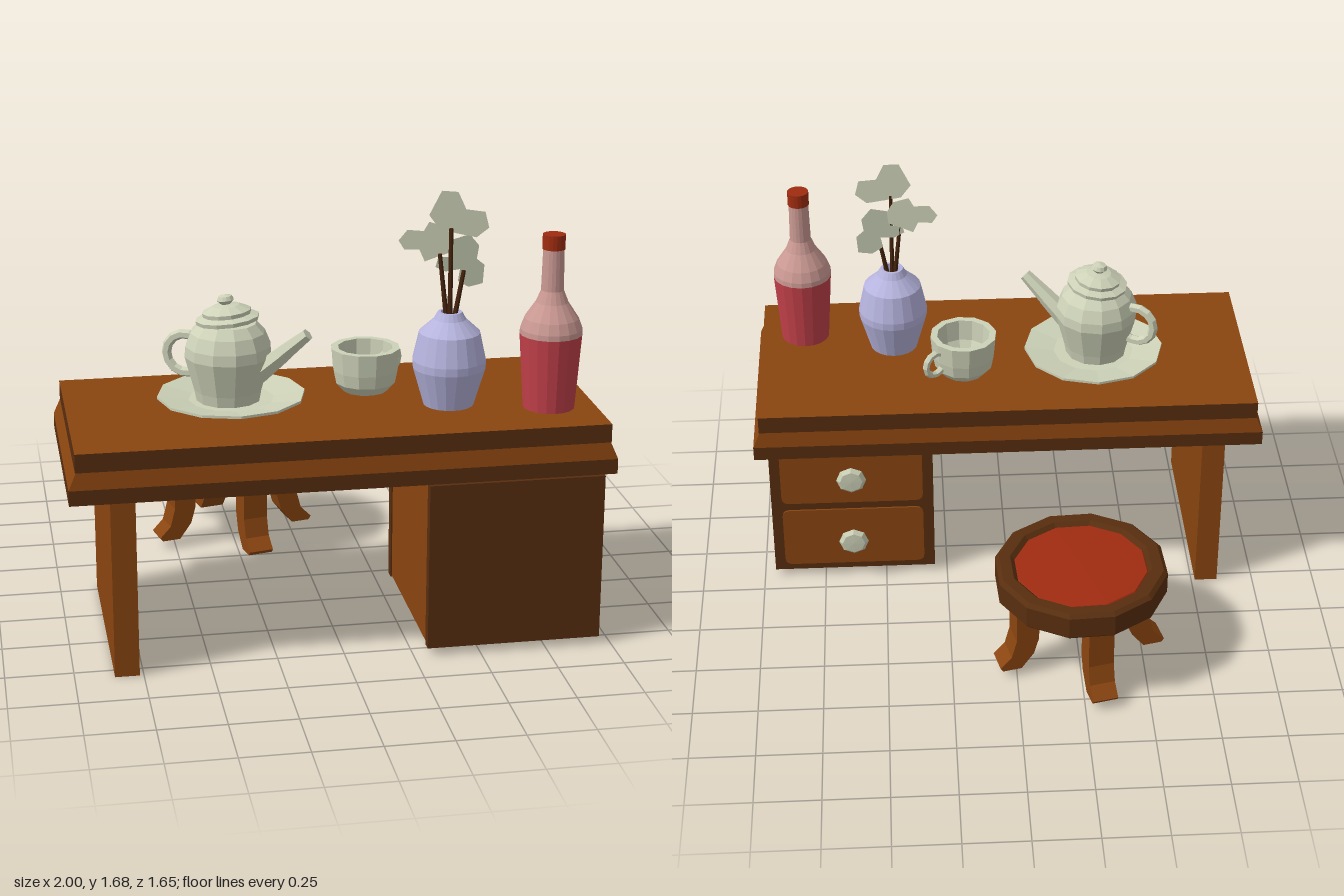
import * as THREE from 'three';

const mat = (name, color, side = THREE.FrontSide) => {
  const m = new THREE.MeshStandardMaterial({ color, flatShading: true, side });
  m.name = name;
  return m;
};

export function createModel() {
  const wood = mat('wood', 0x8a4510);
  const darkWood = mat('darkWood', 0x582e0f);
  const red = mat('red', 0xa02c10);
  const cream = mat('cream', 0xcdd2b8, THREE.DoubleSide);
  const lilac = mat('lilac', 0xb6b4de, THREE.DoubleSide);
  const pink = mat('pinkGlass', 0xcb9993);
  const wine = mat('wine', 0xc2404a);
  const twigBrown = mat('twig', 0x45230c);

  const root = new THREE.Group();
  root.name = 'teaTable';
  const group = (name, x = 0, y = 0, z = 0, parent = root) => {
    const g = new THREE.Group();
    g.name = name;
    g.position.set(x, y, z);
    parent.add(g);
    return g;
  };
  const add = (parent, name, geo, material) => {
    const m = new THREE.Mesh(geo, material);
    m.name = name;
    parent.add(m);
    return m;
  };
  // box given by its extents
  const box = (parent, name, material, x0, x1, y0, y1, z0, z1) => {
    const geo = new THREE.BoxGeometry(x1 - x0, y1 - y0, z1 - z0);
    geo.translate((x0 + x1) / 2, (y0 + y1) / 2, (z0 + z1) / 2);
    return add(parent, name, geo, material);
  };
  const lathe = (parent, name, material, sides, pts) =>
    add(parent, name, new THREE.LatheGeometry(pts.map(p => new THREE.Vector2(...p)), sides), material);
  // tapered rod between two points
  const rod = (parent, name, material, a, b, r0, r1, sides = 6) => {
    const p = new THREE.Vector3(...a), q = new THREE.Vector3(...b), d = q.clone().sub(p);
    const m = add(parent, name, new THREE.CylinderGeometry(r1, r0, d.length(), sides), material);
    m.position.copy(p).add(q).multiplyScalar(0.5);
    m.quaternion.setFromUnitVectors(new THREE.Vector3(0, 1, 0), d.normalize());
    return m;
  };

  // Desk top: lower band, sloped moulding, upper band
  const desk = group('desk');
  box(desk, 'lowerBand', darkWood, -1, 1, 0.675, 0.732, -0.043, 0.82);
  const slope = box(desk, 'moulding', wood, -1, 1, 0.732, 0.795, -0.043, 0.82);
  const sp = slope.geometry.attributes.position;
  for (let i = 0; i < sp.count; i++) {
    if (sp.getY(i) < 0.76) continue;
    sp.setX(i, sp.getX(i) * 0.973);
    sp.setZ(i, 0.3885 + (sp.getZ(i) - 0.3885) * 0.98);
  }
  slope.geometry.computeVertexNormals();
  box(desk, 'upperBand', [darkWood, darkWood, wood, darkWood, darkWood, darkWood],
    -0.975, 0.975, 0.795, 0.865, -0.035, 0.812);
  box(desk, 'sidePanel', wood, -0.855, -0.765, 0, 0.675, -0.035, 0.81);

  // Drawer cabinet, drawers opening towards the stool
  const cabinet = group('cabinet', 0, 0, 0, desk);
  box(cabinet, 'cabinetBody', wood, 0.305, 0.95, 0.034, 0.675, 0.13, 0.785);
  box(cabinet, 'cabinetBack', darkWood, 0.30, 0.955, 0.03, 0.67, 0.78, 0.822);
  box(cabinet, 'drawerFrame', darkWood, 0.30, 0.955, 0.03, 0.67, 0.09, 0.135);
  for (const y of [0.195, 0.5]) {
    const w = 0.285, h = 0.135, c = 0.03;
    const s = new THREE.Shape();
    s.moveTo(-w + c, -h);
    s.lineTo(w - c, -h);
    s.quadraticCurveTo(w, -h, w, -h + c);
    s.lineTo(w, h - c);
    s.quadraticCurveTo(w, h, w - c, h);
    s.lineTo(-w + c, h);
    s.quadraticCurveTo(-w, h, -w, h - c);
    s.lineTo(-w, -h + c);
    s.quadraticCurveTo(-w, -h, -w + c, -h);
    const front = add(cabinet, 'drawerFront',
      new THREE.ExtrudeGeometry(s, { depth: 0.008, bevelEnabled: false, curveSegments: 3 }), wood);
    front.position.set(0.628, y, 0.083);
    const knob = lathe(cabinet, 'drawerKnob', cream, 8,
      [[0, 0], [0.025, 0], [0.03, 0.015], [0.06, 0.038], [0.045, 0.053], [0, 0.055]]);
    knob.position.set(0.628, y, 0.084);
    knob.rotation.x = -Math.PI / 2;
  }

  // Stool: twelve-sided seat, red cushion and four splayed legs
  const stool = group('stool', -0.25, 0, -0.49);
  const rad = THREE.MathUtils.degToRad;
  const seat = lathe(stool, 'seatRim', darkWood, 12, [[0, 0.35], [0.322, 0.35], [0.334, 0.362],
    [0.334, 0.448], [0.318, 0.462], [0.275, 0.462], [0.258, 0.445]]);
  const cushion = lathe(stool, 'seatCushion', red, 12, [[0.262, 0.44], [0.255, 0.449], [0, 0.453]]);
  seat.rotation.y = cushion.rotation.y = rad(18);
  const legShape = new THREE.Shape([[0.18, 0.352], [0.18, 0.17], [0.2, 0.1], [0.25, 0.035], [0.325, 0.035],
    [0.335, 0.05], [0.29, 0.095], [0.27, 0.17], [0.27, 0.352]].map(p => new THREE.Vector2(...p)));
  for (let i = 0; i < 4; i++) {
    const geo = new THREE.ExtrudeGeometry(legShape, { depth: 0.1, bevelEnabled: false });
    geo.translate(0, 0, -0.05);
    add(stool, 'stoolLeg', geo, wood).rotation.y = rad(13 + 90 * i);
  }

  // Saucer and teapot
  lathe(group('saucerGroup', -0.36, 0, 0.355), 'saucer', cream, 12, [[0, 0.866], [0.17, 0.866],
    [0.277, 0.9], [0.277, 0.91], [0.16, 0.89], [0, 0.888]]);
  const teapot = group('teapot', -0.37, 0, 0.355);
  teapot.rotation.y = rad(-27);
  lathe(teapot, 'teapotBody', cream, 12, [[0, 0.887], [0.12, 0.887], [0.128, 0.93], [0.163, 1.06],
    [0.16, 1.1], [0.14, 1.15], [0.108, 1.185], [0, 1.185]]);
  const lid = group('lidGroup', 0, 1.195, 0, teapot);
  lid.rotation.z = rad(6);
  lathe(lid, 'teapotLid', cream, 12, [[0, -0.005], [0.117, -0.005], [0.12, 0.01], [0.09, 0.02],
    [0.092, 0.035], [0.05, 0.055], [0.018, 0.06], [0.032, 0.075], [0.025, 0.09], [0, 0.096]]);
  rod(teapot, 'spoutBase', cream, [0.12, 1.0, 0], [0.22, 1.085, 0], 0.045, 0.034);
  rod(teapot, 'spoutTip', cream, [0.21, 1.078, 0], [0.31, 1.165, 0], 0.035, 0.024);
  const handle = add(teapot, 'teapotHandle', new THREE.TorusGeometry(0.075, 0.019, 6, 14), cream);
  handle.position.set(-0.168, 1.05, 0);

  // Cup, hollow, with side handle
  const cup = group('cup', 0.165, 0, 0.265);
  cup.rotation.y = rad(38);
  lathe(cup, 'cupBowl', cream, 12, [[0, 0.866], [0.085, 0.866], [0.115, 0.9], [0.125, 0.95], [0.132, 1.035],
    [0.105, 1.035], [0.098, 0.95], [0.07, 0.9], [0, 0.895]]);
  const cupHandle = add(cup, 'cupHandle', new THREE.TorusGeometry(0.047, 0.014, 6, 12), cream);
  cupHandle.position.set(0.145, 0.955, 0);

  // Vase with twigs and flat blossoms
  const vase = group('vase', 0.44, 0, 0.48);
  lathe(vase, 'vaseBody', lilac, 20, [[0, 0.866], [0.094, 0.866], [0.136, 1.01], [0.137, 1.04], [0.114, 1.145],
    [0.06, 1.195], [0.045, 1.222], [0.034, 1.222], [0.03, 1.18], [0, 1.17]]);
  for (const [x, y, z] of [[-0.005, 1.54, 0.015], [-0.04, 1.44, -0.01], [0.05, 1.375, -0.005]])
    rod(vase, 'twig', twigBrown, [x * 0.25, 1.17, z * 0.3], [x, y, z], 0.01, 0.008);
  const blossoms = [
    [0.01, 0.12, [[0.4, 1.68], [0.46, 1.675], [0.49, 1.61], [0.56, 1.6], [0.575, 1.54], [0.53, 1.505],
      [0.46, 1.52], [0.395, 1.535], [0.355, 1.59]]],
    [-0.03, 0.14, [[0.253, 1.485], [0.285, 1.525], [0.345, 1.52], [0.365, 1.555], [0.425, 1.535], [0.452, 1.49],
      [0.447, 1.44], [0.39, 1.42], [0.35, 1.405], [0.33, 1.45], [0.275, 1.45]]],
    [-0.02, -0.1, [[0.452, 1.49], [0.515, 1.505], [0.553, 1.46], [0.545, 1.41], [0.575, 1.385], [0.57, 1.315],
      [0.515, 1.305], [0.473, 1.33], [0.48, 1.375], [0.425, 1.37], [0.385, 1.39], [0.395, 1.425], [0.44, 1.425]]],
  ];
  for (const [z, tilt, pts] of blossoms) {
    const s = new THREE.Shape(pts.map(([x, y]) => new THREE.Vector2(x - 0.44, y)));
    const b = add(vase, 'blossom', new THREE.ShapeGeometry(s), cream);
    b.position.z = z;
    b.rotation.y = -tilt;
  }

  // Bottle: wine-filled base, clear shoulder and neck, red cap
  const bottle = group('bottle', 0.8, 0, 0.575);
  lathe(bottle, 'bottleWine', wine, 18, [[0, 0.866], [0.096, 0.866], [0.116, 1.15]]);
  lathe(bottle, 'bottleGlass', pink, 18, [[0.116, 1.15], [0.115, 1.17], [0.1, 1.21], [0.06, 1.27],
    [0.042, 1.315], [0.039, 1.47]]);
  lathe(bottle, 'bottleCap', red, 18, [[0.039, 1.47], [0.042, 1.47], [0.042, 1.525], [0, 1.525]]);

  return root;
}
